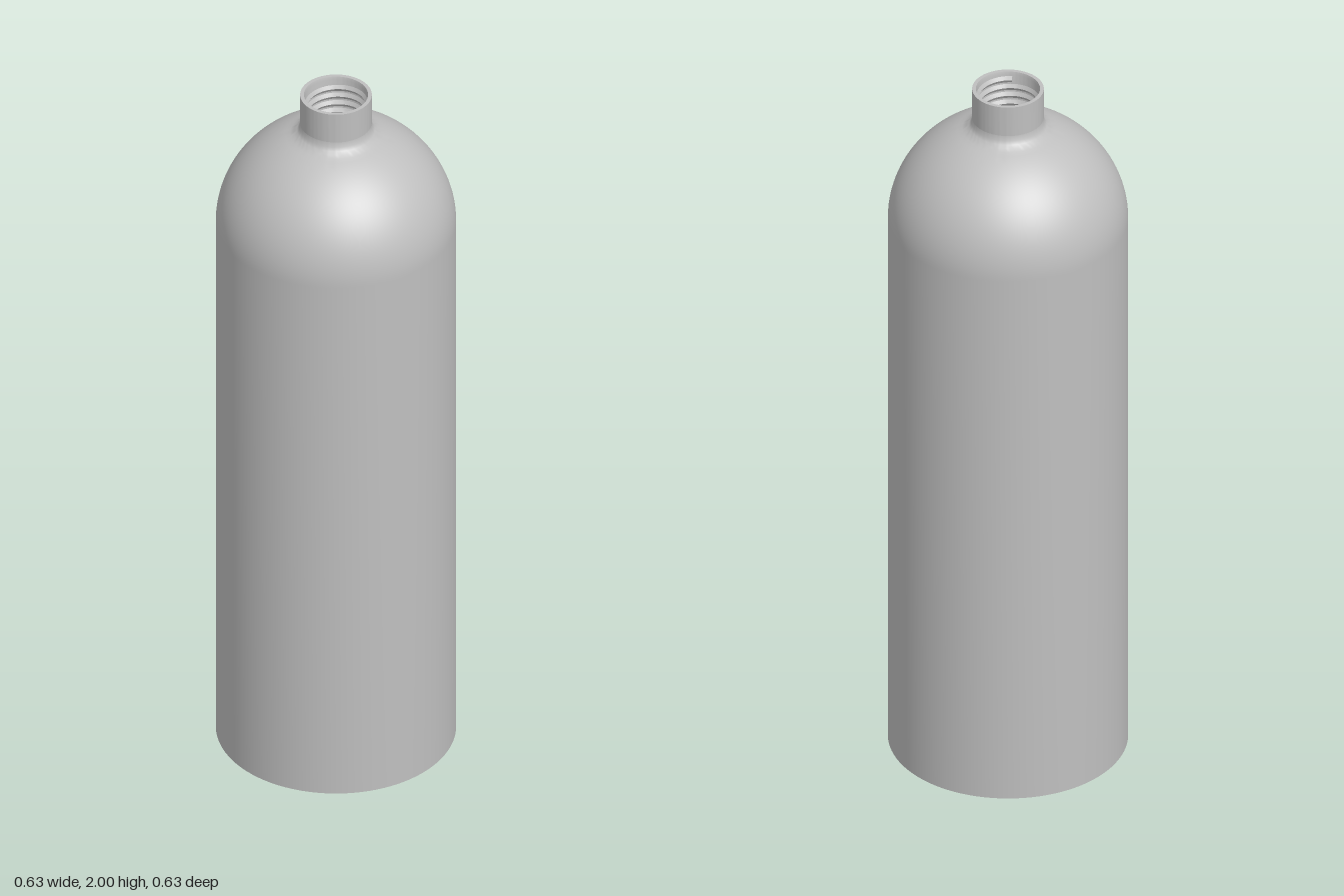
import * as THREE from 'three';
import { toCreasedNormals } from 'three/addons/utils/BufferGeometryUtils.js';

const metal = new THREE.MeshStandardMaterial({ color: 0xbfbfbf });
metal.name = 'grey metal';

const SEGMENTS = 96;

// Points [radius, height] along part of an ellipse, angles in radians
function arc(cx, cy, rx, ry, from, to, steps) {
  const points = [];
  for (let i = 0; i <= steps; i++) {
    const t = from + (to - from) * i / steps;
    points.push([cx + rx * Math.cos(t), cy + ry * Math.sin(t)]);
  }
  return points;
}

// Turned part; the profile keeps the metal on its left
function turned(name, profile) {
  const points = profile.map(([r, y]) => new THREE.Vector2(r, y));
  const geometry = toCreasedNormals(new THREE.LatheGeometry(points, SEGMENTS), 0.6);
  const mesh = new THREE.Mesh(geometry, metal);
  mesh.name = name;
  return mesh;
}

// Triangular ridge winding down the inside of the neck
function internalThread(top, pitch, turns) {
  const perTurn = 48;
  const rings = perTurn * turns;
  const section = [[0.083, 0.011], [0.076, 0], [0.083, -0.011]];
  const positions = [];
  const index = [];
  for (let i = 0; i <= rings; i++) {
    const angle = i / perTurn * Math.PI * 2;
    const y = top - pitch * i / perTurn;
    for (const [r, dy] of section) {
      positions.push(r * Math.sin(angle), y + dy, r * Math.cos(angle));
    }
    if (i === rings) continue;
    for (let j = 0; j < 2; j++) {
      const a = i * 3 + j;
      const b = a + 3;
      index.push(a, b, a + 1, b + 1, a + 1, b);
    }
  }
  const geometry = new THREE.BufferGeometry();
  geometry.setAttribute('position', new THREE.Float32BufferAttribute(positions, 3));
  geometry.setIndex(index);
  const mesh = new THREE.Mesh(toCreasedNormals(geometry, 0.5), metal);
  mesh.name = 'neckThread';
  return mesh;
}

export function createModel() {
  const model = new THREE.Group();
  model.name = 'gasBottle';

  // Rounded bottom sunk inside the foot ring
  model.add(turned('base', [
    [0, 0.01],
    ...arc(0.13, 0.18, 0.153, 0.17, -Math.PI / 2, 0, 16),
  ]));

  // Foot ring: inner wall and flat rim
  model.add(turned('footRing', [[0.283, 0.18], [0.283, 0], [0.315, 0]]));

  // Straight side and domed shoulder, blended into the neck
  model.add(turned('body', [
    [0.315, 0],
    ...arc(0, 1.6, 0.315, 0.3, 0, 1.18, 28),
    [0.11, 1.883], [0.102, 1.889], [0.096, 1.898], [0.094, 1.912],
  ]));

  // Neck with a chamfered mouth and open bore
  model.add(turned('neck', [
    [0.094, 1.912], [0.094, 2], [0.084, 2], [0.082, 1.992], [0.082, 1.84],
  ]));
  model.add(internalThread(1.978, 0.024, 5));

  // Hollow inside
  model.add(turned('cavity', [
    [0.082, 1.84],
    ...arc(0, 1.6, 0.283, 0.251, 1.277, 0, 16),
    ...arc(0.13, 0.21, 0.153, 0.17, 0, -Math.PI / 2, 12),
    [0, 0.04],
  ]));

  return model;
}
